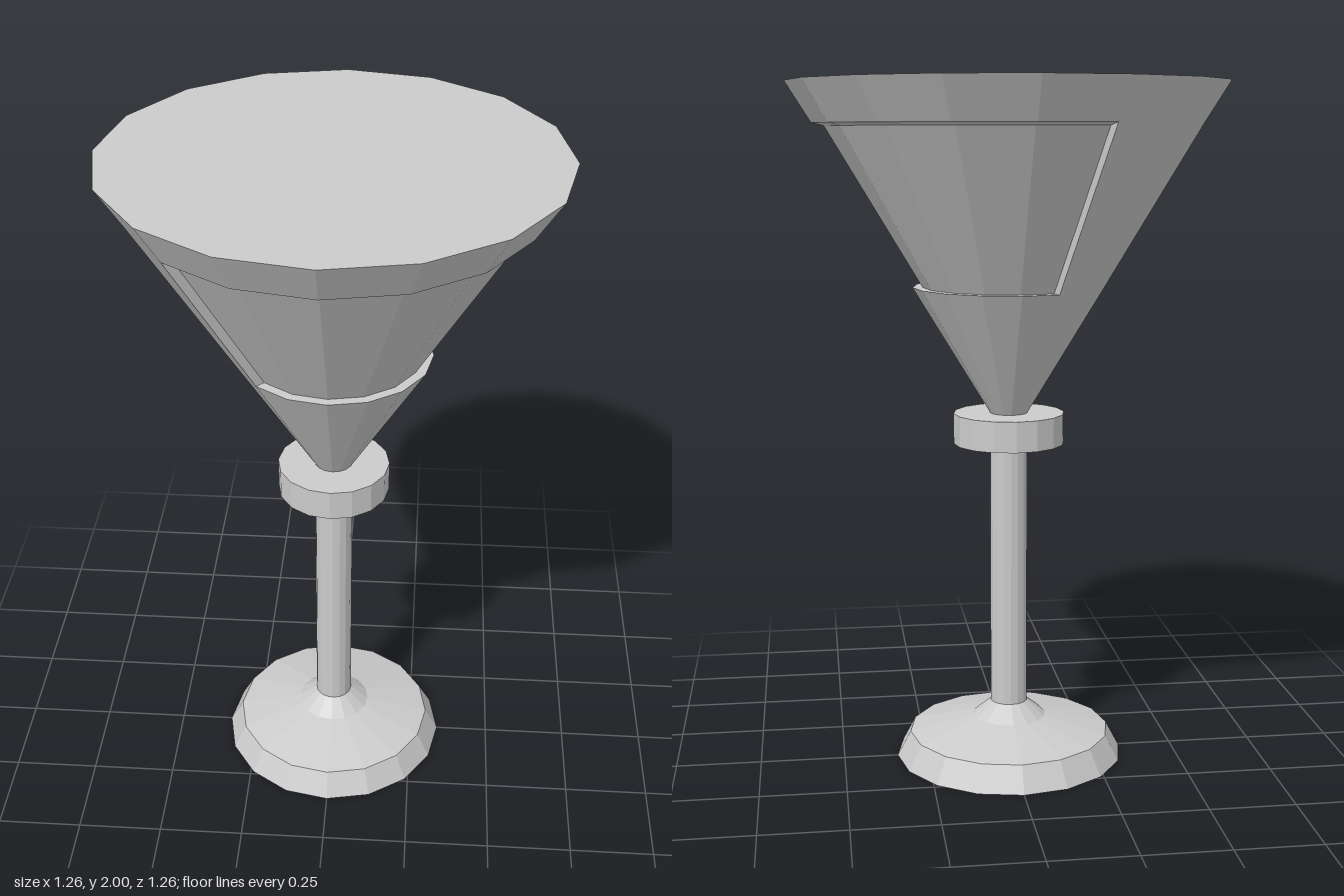
import * as THREE from 'three';

const SIDES = 16;
const STEP = (Math.PI * 2) / SIDES;

export function createModel() {
  const group = new THREE.Group();
  group.name = 'stemmedGlass';
  const grey = new THREE.MeshStandardMaterial({ color: 0xcccccc, flatShading: true });
  const greyDouble = grey.clone();
  greyDouble.side = THREE.DoubleSide;

  const add = (name, geometry, material = grey) => {
    const mesh = new THREE.Mesh(geometry, material);
    mesh.name = name;
    group.add(mesh);
  };
  // profile runs from bottom to top as [radius, y]; it may cover only some of the sides
  const turned = (name, profile, first = 0, count = SIDES) =>
    add(name, new THREE.LatheGeometry(
      profile.map(([r, y]) => new THREE.Vector2(r, y)), count, first * STEP, count * STEP));

  // Foot, stem and collar
  turned('foot', [[0, 0], [0.34, 0], [0.3, 0.075], [0.11, 0.12], [0.055, 0.165]]);
  turned('stem', [[0.055, 0.165], [0.055, 0.96]]);
  turned('collar', [[0.055, 0.96], [0.163, 0.96], [0.163, 1.05], [0, 1.05]]);

  // Conical bowl: lower cone, closed rim band, and a middle band recessed on 11 sides
  const low = [0.279, 1.42], high = [0.557, 1.884];
  const lowIn = [0.25, 1.42], highIn = [0.522, 1.876];
  const gapStart = 14, gapSides = 11;
  turned('lowerBowl', [[0.055, 1.05], low]);
  turned('rim', [high, [0.63, 2], [0, 2]]);
  turned('recessedBand', [low, lowIn, highIn, high], gapStart, gapSides);
  turned('raisedPanel', [low, high], gapStart + gapSides, SIDES - gapSides);

  // Thin end walls of the recess
  for (const side of [gapStart, gapStart + gapSides]) {
    const a = side * STEP;
    const points = [low, high, highIn, lowIn]
      .map(([r, y]) => new THREE.Vector3(r * Math.sin(a), y, r * Math.cos(a)));
    const wall = new THREE.BufferGeometry().setFromPoints(points);
    wall.setIndex([0, 1, 2, 0, 2, 3]);
    wall.computeVertexNormals();
    add('recessEndWall', wall, greyDouble);
  }
  return group;
}
